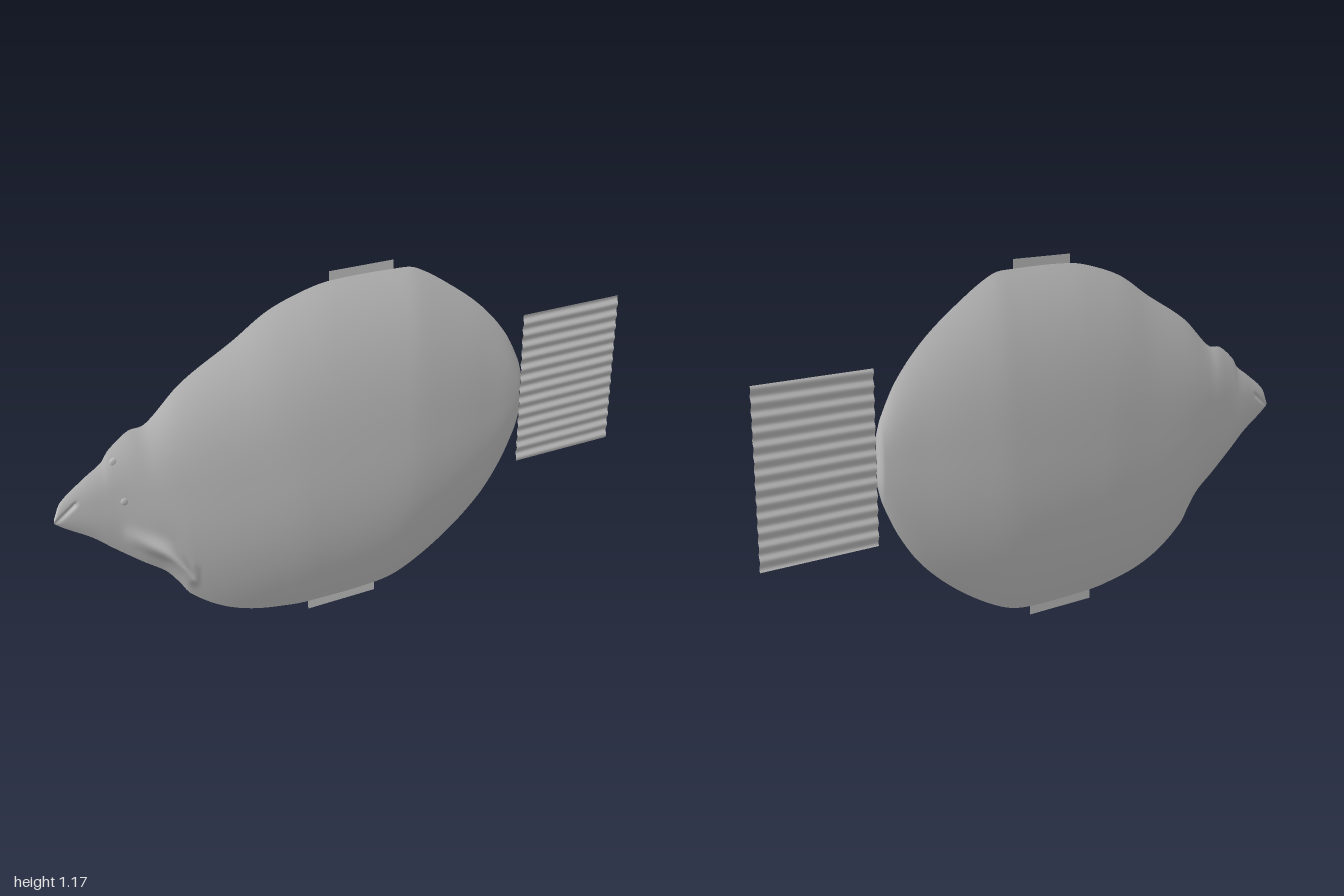
import * as THREE from 'three';

// body outline: [x, y]; half thickness: [x, z]
const TOP = [[-1, .565], [-.98, .613], [-.9, .677], [-.845, .715], [-.825, .745], [-.76, .795], [-.705, .806], [-.59, .91], [-.42, 1.01],
  [-.31, 1.08], [-.2, 1.12], [-.1, 1.14], [.13, 1.14], [.2, 1.13], [.33, 1.05], [.45, .955], [.545, .845], [.6, .74], [.615, .69]];
const BOTTOM = [[-1, .55], [-.97, .527], [-.89, .473], [-.83, .42], [-.74, .345], [-.67, .29], [-.63, .237], [-.6, .19], [-.5, .113],
  [-.39, .065], [-.255, .037], [-.18, .03], [.065, .03], [.17, .054], [.33, .145], [.465, .26], [.545, .37], [.6, .485], [.615, .54]];
const THICK = [[-1, .004], [-.9, .012], [-.8, .02], [-.6, .045], [-.4, .06], [-.2, .07], [.15, .07], [.3, .059], [.45, .041], [.6, .016], [.615, 0]];

// smooth cubic interpolation through a table of points
function sample(pts, x) {
  let i = 0;
  while (i < pts.length - 2 && x > pts[i + 1][0]) i++;
  const slope = k => {
    const a = pts[Math.max(k - 1, 0)], b = pts[Math.min(k + 1, pts.length - 1)];
    return (b[1] - a[1]) / (b[0] - a[0]);
  };
  const h = pts[i + 1][0] - pts[i][0];
  const t = THREE.MathUtils.clamp((x - pts[i][0]) / h, 0, 1), t2 = t * t, t3 = t2 * t;
  return (2 * t3 - 3 * t2 + 1) * pts[i][1] + (t3 - 2 * t2 + t) * h * slope(i)
    + (3 * t2 - 2 * t3) * pts[i + 1][1] + (t3 - t2) * h * slope(i + 1);
}

// one side of the flat, lens-shaped body; side is +1 (front) or -1 (back)
function bodySide(side) {
  const NU = 150, NV = 60, pos = [], idx = [];
  for (let i = 0; i <= NU; i++) {
    const u = i / NU;
    const x = -1 + 1.615 * (.6 * u + .4 * (1 - Math.cos(Math.PI * u)) / 2);
    const top = sample(TOP, x), bottom = sample(BOTTOM, x), thick = Math.max(sample(THICK, x), 0);
    for (let j = 0; j <= NV; j++) {
      const t = -1 + 2 * j / NV;
      const y = (top + bottom) / 2 + t * (top - bottom) / 2;
      const edge = 1 - Math.pow(Math.abs(t), 2.6);
      let z = thick * edge;
      // mouth crease
      const mouth = y - (.55 + .8 * (x + 1));
      if (x < -.93) z *= 1 - .7 * Math.exp(-Math.pow(mouth / .008, 2));
      // gill cover bulging towards its rear edge
      if (side > 0 && x > -.8 && x < -.58) {
        const ramp = x < -.6 ? (x + .8) / .2 : (-.58 - x) / .02;
        z += .05 * ramp * Math.min(1, edge * 2) * Math.exp(-Math.pow((y - bottom - .08) / .03, 2));
      }
      pos.push(x, y, side * z);
      if (i < NU && j < NV) {
        const a = i * (NV + 1) + j, b = a + NV + 1;
        if (side > 0) idx.push(a, b, b + 1, a, b + 1, a + 1);
        else idx.push(a, b + 1, b, a, a + 1, b + 1);
      }
    }
  }
  const g = new THREE.BufferGeometry();
  g.setAttribute('position', new THREE.Float32BufferAttribute(pos, 3));
  g.setIndex(idx);
  g.computeVertexNormals();
  return g;
}

// thin rectangular fin, optionally rippled from top to bottom
function fin(x0, x1, y0, y1, ripples, depth) {
  const g = new THREE.PlaneGeometry(x1 - x0, y1 - y0, 4, ripples ? ripples * 8 : 1);
  g.translate((x0 + x1) / 2, (y0 + y1) / 2, 0);
  const p = g.attributes.position;
  for (let i = 0; i < p.count; i++) {
    const v = (p.getY(i) - y0) / (y1 - y0);
    p.setZ(i, depth * Math.sin(v * ripples * Math.PI * 2));
  }
  g.computeVertexNormals();
  return g;
}

export function createModel() {
  const group = new THREE.Group();
  group.name = 'flatfish';
  const grey = new THREE.MeshStandardMaterial({ color: 0xcccccc, side: THREE.DoubleSide });
  grey.name = 'light grey';
  const add = (name, geometry) => {
    const mesh = new THREE.Mesh(geometry, grey);
    mesh.name = name;
    group.add(mesh);
    return mesh;
  };

  add('bodyFront', bodySide(1));
  add('bodyBack', bodySide(-1));

  // fins
  add('tailFin', fin(.615, 1, .355, .895, 13, .003));
  add('dorsalFin', fin(-.1, .12, 1.13, 1.17, 0, 0));
  add('ventralFin', fin(-.19, .06, 0, .04, 0, 0));

  // both eyes sit on the front side
  for (const [name, x, y, z] of [['upperEye', -.81, .71, .008], ['lowerEye', -.79, .58, .019]]) {
    const eye = add(name, new THREE.SphereGeometry(.014, 16, 10));
    eye.position.set(x, y, z);
    eye.scale.z = .3;
  }
  return group;
}
